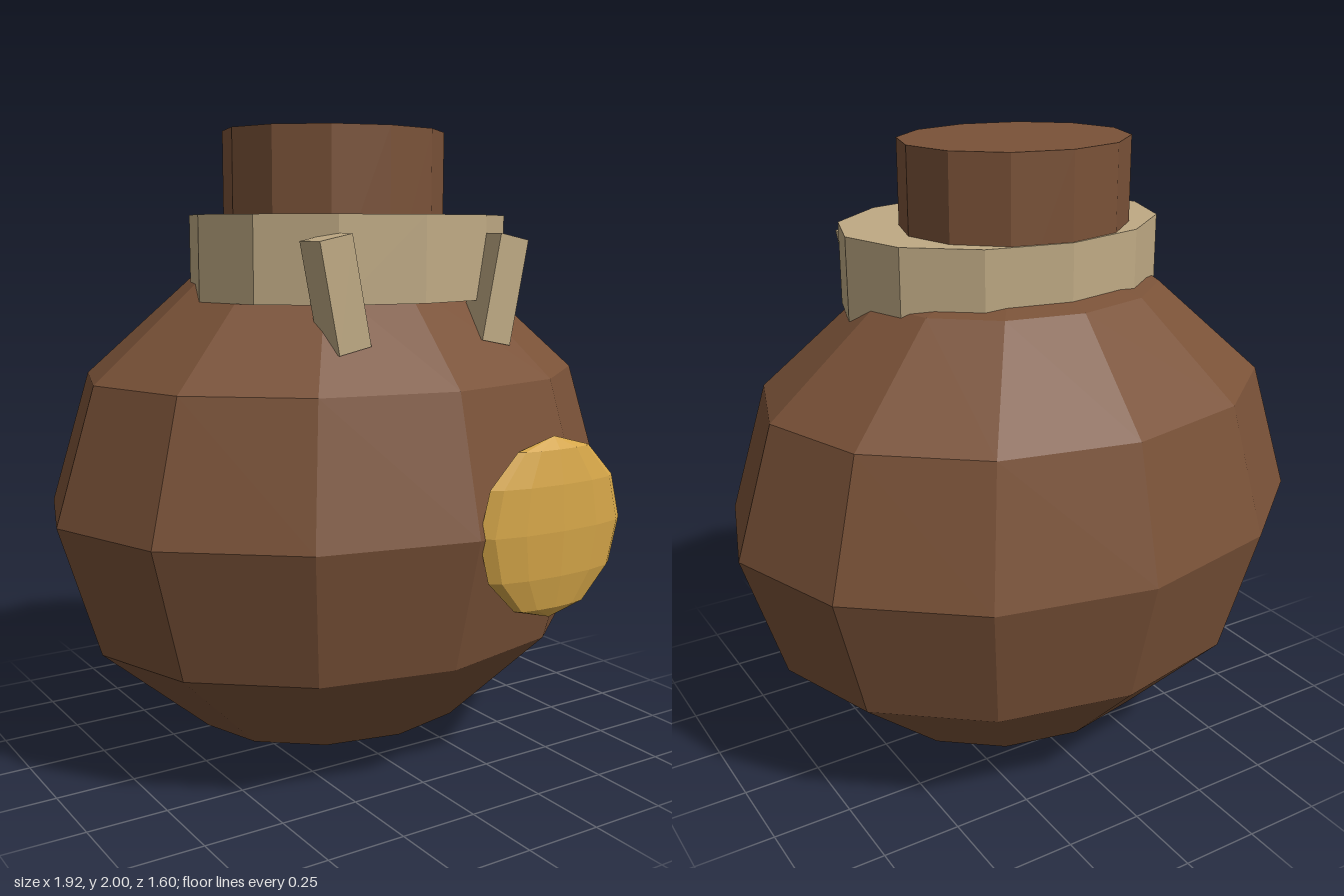
import * as THREE from 'three';

const material = (name, color) => {
  const m = new THREE.MeshStandardMaterial({ color, flatShading: true });
  m.name = name;
  return m;
};

export function createModel() {
  const leather = material('brown leather', 0x7a5238);
  const cord = material('tan cord', 0xbfaa84);
  const gold = material('gold', 0xd4a548);

  const group = new THREE.Group();
  group.name = 'pouch';

  const add = (name, geometry, mat, position, scale = [1, 1, 1]) => {
    const mesh = new THREE.Mesh(geometry, mat);
    mesh.name = name;
    mesh.position.set(...position);
    mesh.scale.set(...scale);
    group.add(mesh);
    return mesh;
  };

  // Twelve-sided forms shared by the round parts
  const ball = new THREE.SphereGeometry(1, 12, 6);
  const drum = new THREE.CylinderGeometry(1, 1, 1, 12);

  // Bag, gathered neck and the band tied round it
  add('bag', ball, leather, [0, 0.83, -0.02], [0.96, 0.826, 0.78]);
  add('neck', drum, leather, [0, 1.75, -0.02], [0.365, 0.5, 0.32]);
  add('tieBand', drum, cord, [0, 1.61, 0.07], [0.527, 0.256, 0.415]);

  // Loose cord ends, splayed outward at the top
  const cordEnd = new THREE.BoxGeometry(0.108, 0.323, 0.11);
  for (const side of [-1, 1]) {
    const end = add(side > 0 ? 'leftCordEnd' : 'rightCordEnd', cordEnd, cord, [side * 0.285, 1.515, 0.445]);
    end.rotation.z = -side * 0.2;
  }

  // Flattened coin on the front
  add('coin', ball, gold, [0.275, 0.832, 0.745], [0.27, 0.273, 0.055]);

  return group;
}
